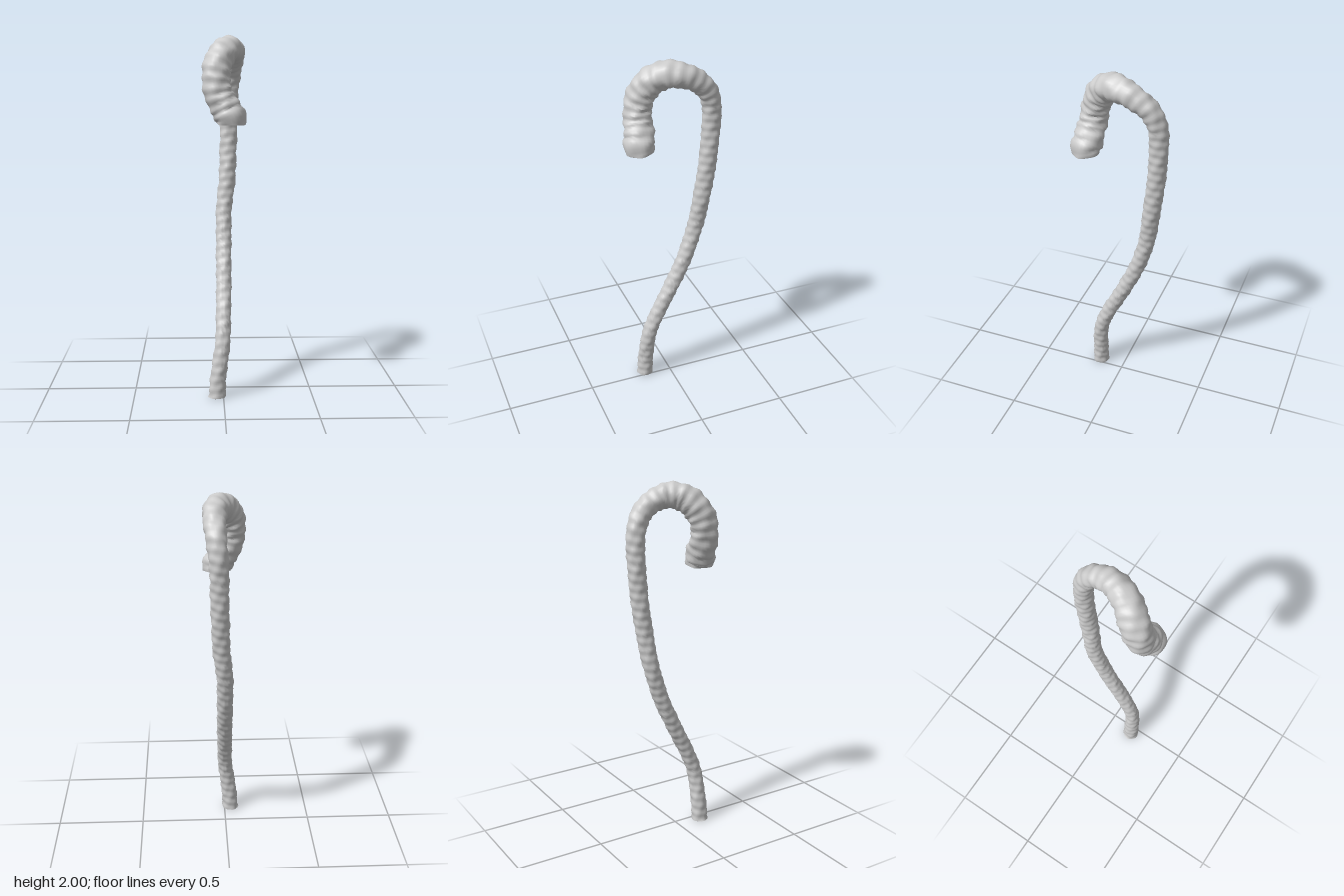
import * as THREE from 'three';
import { toCreasedNormals } from 'three/addons/utils/BufferGeometryUtils.js';

// Centreline from the foot to the tip of the crook: x, y, z, radius
const PATH = [
  [-0.037, -0.01, 0.15, 0.047], [-0.03, 0.1, 0.147, 0.045], [-0.005, 0.3, 0.13, 0.042],
  [0.002, 0.45, 0.075, 0.042], [0.005, 0.6, 0, 0.043], [0.008, 0.8, -0.09, 0.044],
  [0.01, 1, -0.152, 0.045], [0.03, 1.2, -0.182, 0.048], [0.038, 1.4, -0.207, 0.049],
  [0.042, 1.6, -0.22, 0.05], [0.048, 1.74, -0.216, 0.052], [0.058, 1.83, -0.18, 0.056],
  [0.063, 1.89, -0.11, 0.06], [0.055, 1.918, -0.04, 0.067], [0.028, 1.922, 0.03, 0.073],
  [-0.008, 1.89, 0.09, 0.076], [-0.034, 1.83, 0.135, 0.077], [-0.04, 1.74, 0.163, 0.075],
  [-0.022, 1.67, 0.17, 0.076], [0.018, 1.6, 0.178, 0.081], [0.04, 1.555, 0.186, 0.083],
  [0.046, 1.515, 0.178, 0.07],
];
const RINGS = 260, SIDES = 28;

// Small knobbly variation of the bark
function bark(s, a) {
  return 0.0022 * Math.sin(s * 330 + 1.5 * Math.sin(a))
    + 0.0022 * Math.sin(3 * a + 41 * s) * Math.sin(s * 97)
    + 0.0018 * Math.sin(5 * a - 140 * s);
}

function staffGeometry() {
  const curve = new THREE.CatmullRomCurve3(PATH.map(([x, y, z]) => new THREE.Vector3(x, y, z)));
  curve.arcLengthDivisions = 600;
  const { normals, binormals } = curve.computeFrenetFrames(RINGS, false);
  const pos = [], index = [];

  // Rings of the swept, bumpy tube, levelled off at both ends
  for (let i = 0; i <= RINGS; i++) {
    const s = i / RINGS;
    const f = curve.getUtoTmapping(s) * (PATH.length - 1);
    const k = Math.min(Math.floor(f), PATH.length - 2);
    const r = THREE.MathUtils.lerp(PATH[k][3], PATH[k + 1][3], f - k);
    const c = curve.getPointAt(s);
    const floor = s < 0.5 ? 0 : 1.52;
    for (let j = 0; j < SIDES; j++) {
      const a = j / SIDES * Math.PI * 2;
      const d = r + bark(s, a) * (r / 0.055);
      const p = c.clone()
        .addScaledVector(normals[i], Math.cos(a) * d)
        .addScaledVector(binormals[i], Math.sin(a) * d);
      if (s < 0.1 || s > 0.93) p.y = Math.max(p.y, floor);
      pos.push(p.x, p.y, p.z);
    }
  }
  for (let i = 0; i < RINGS; i++) {
    for (let j = 0; j < SIDES; j++) {
      const a = i * SIDES + j, b = i * SIDES + (j + 1) % SIDES;
      index.push(a, b, a + SIDES, b, b + SIDES, a + SIDES);
    }
  }

  // Flat end caps
  const foot = pos.length / 3, tip = foot + 1, last = RINGS * SIDES;
  pos.push(PATH[0][0], 0, PATH[0][2]);
  const end = PATH[PATH.length - 1];
  pos.push(end[0], 1.52, end[2]);
  for (let j = 0; j < SIDES; j++) {
    const n = (j + 1) % SIDES;
    index.push(foot, n, j, tip, last + j, last + n);
  }

  const geo = new THREE.BufferGeometry();
  geo.setAttribute('position', new THREE.Float32BufferAttribute(pos, 3));
  geo.setIndex(index);
  return toCreasedNormals(geo, 0.8);
}

export function createModel() {
  const group = new THREE.Group();
  group.name = 'walkingStick';
  const staff = new THREE.Mesh(staffGeometry(),
    new THREE.MeshStandardMaterial({ color: 0xcccccc, side: THREE.DoubleSide }));
  staff.name = 'crookedStaff';
  group.add(staff);
  return group;
}
